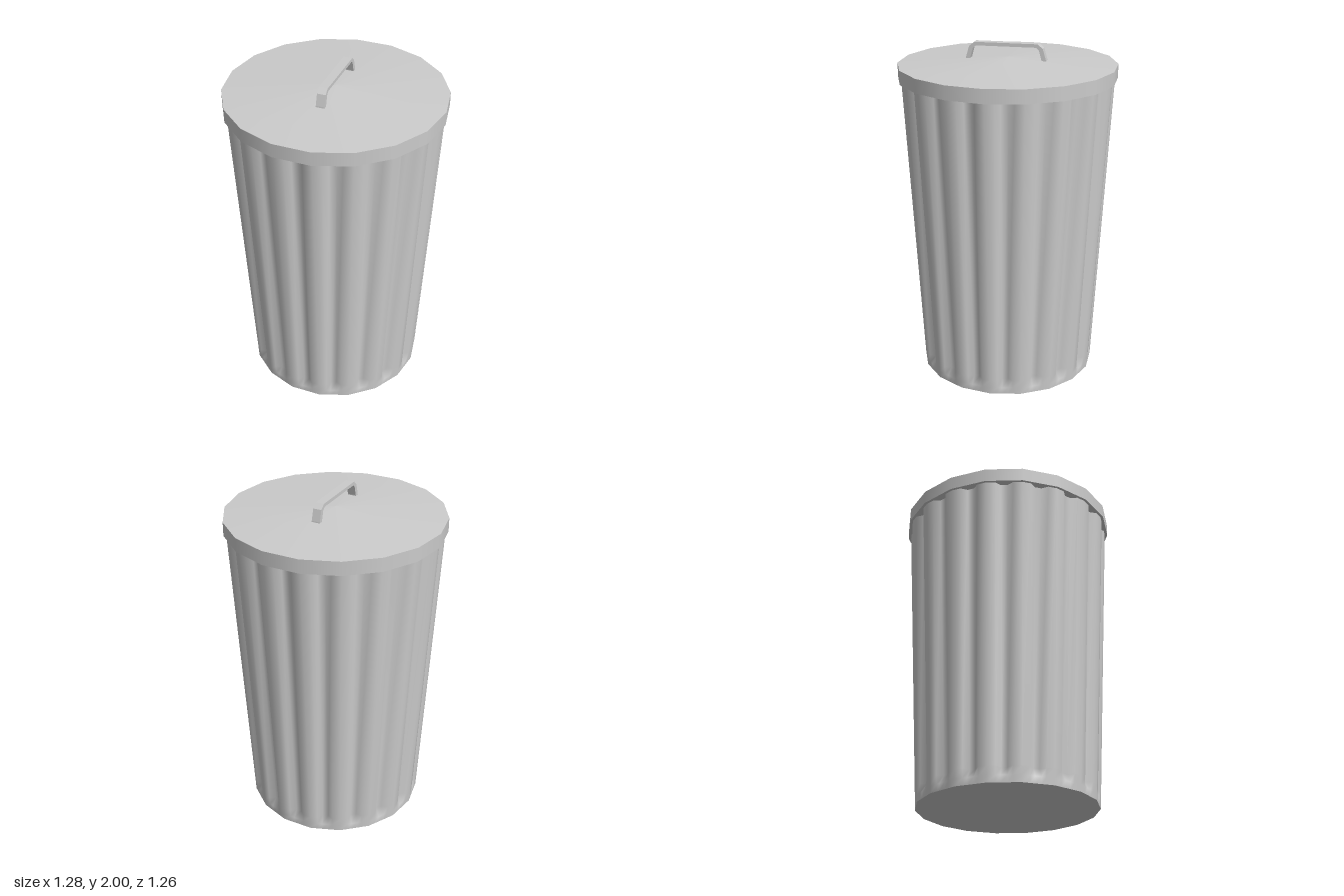
import * as THREE from 'three';

const SIDES = 18;
const STEP = (Math.PI * 2) / SIDES;
const deg = Math.PI / 180;

// Tapered body: an 18-sided ring with a groove pressed into the middle of every side
function bodyGeometry() {
  const rings = [[0, 0], [0.04, 0], [0.09, 0.03], [1.81, 0.03]]; // height, groove depth
  const offsets = [[0, 0], [5, 0], [8, 1], [12, 1], [15, 0]]; // degrees within a side, groove share
  const count = SIDES * offsets.length;
  const pos = [], index = [];
  for (const [y, depth] of rings) {
    const radius = 0.526 + (0.622 - 0.526) * (y / 1.8);
    for (let s = 0; s < SIDES; s++) {
      for (const [d, groove] of offsets) {
        const flat = radius * Math.cos(10 * deg) / Math.cos((d - 10) * deg);
        const r = flat - depth * groove;
        const a = s * STEP + d * deg;
        pos.push(r * Math.cos(a), y, r * Math.sin(a));
      }
    }
  }
  for (let k = 0; k < rings.length - 1; k++) {
    for (let i = 0; i < count; i++) {
      const a = k * count + i, b = k * count + (i + 1) % count;
      index.push(a, a + count, b, b, a + count, b + count);
    }
  }
  const g = new THREE.BufferGeometry();
  g.setAttribute('position', new THREE.Float32BufferAttribute(pos, 3));
  g.setIndex(index);
  g.computeVertexNormals();
  return g;
}

// Bent strap handle, drawn in profile and extruded across its width
function handleGeometry() {
  const outer = [[0.237, 1.89], [0.234, 1.91], [0.215, 1.975], [0.185, 2.0]];
  const inner = [[0.175, 1.98], [0.193, 1.965], [0.208, 1.91], [0.21, 1.89]];
  const mirror = (pts) => pts.map(([z, y]) => [-z, y]).reverse();
  const outline = [...outer, ...mirror(outer), ...mirror(inner), ...inner];
  const shape = new THREE.Shape(outline.map(([z, y]) => new THREE.Vector2(z, y)));
  const g = new THREE.ExtrudeGeometry(shape, { depth: 0.05, bevelEnabled: false });
  g.translate(0, 0, -0.025);
  g.rotateY(-Math.PI / 2);
  g.translate(0.004, 0, 0.006);
  return g;
}

export function createModel() {
  const group = new THREE.Group();
  const material = new THREE.MeshStandardMaterial({ color: 0xcccccc });
  const thin = new THREE.MeshStandardMaterial({ color: 0xcccccc, side: THREE.DoubleSide });
  const add = (name, geometry, mat = material, parent = group) => {
    const mesh = new THREE.Mesh(geometry, mat);
    mesh.name = name;
    parent.add(mesh);
    return mesh;
  };

  add('flutedBody', bodyGeometry(), thin);
  add('base', new THREE.CircleGeometry(0.526, SIDES).rotateX(Math.PI / 2));

  // Lid: upright rim, shallow cone on top, narrow lip underneath
  const lid = new THREE.Group();
  lid.name = 'lid';
  group.add(lid);
  const R = 0.638, low = 1.798, high = 1.879, peak = 1.918;
  add('lidRim', new THREE.CylinderGeometry(R, R, high - low, SIDES, 1, true, Math.PI / 2)
    .translate(0, (low + high) / 2, 0), thin, lid);
  add('lidTop', new THREE.ConeGeometry(R, peak - high, SIDES, 1, true, Math.PI / 2)
    .translate(0, (high + peak) / 2, 0), thin, lid);
  add('lidLip', new THREE.RingGeometry(0.58, R, SIDES).rotateX(Math.PI / 2)
    .translate(0, low, 0), thin, lid);

  add('handle', handleGeometry(), material, lid);
  return group;
}
